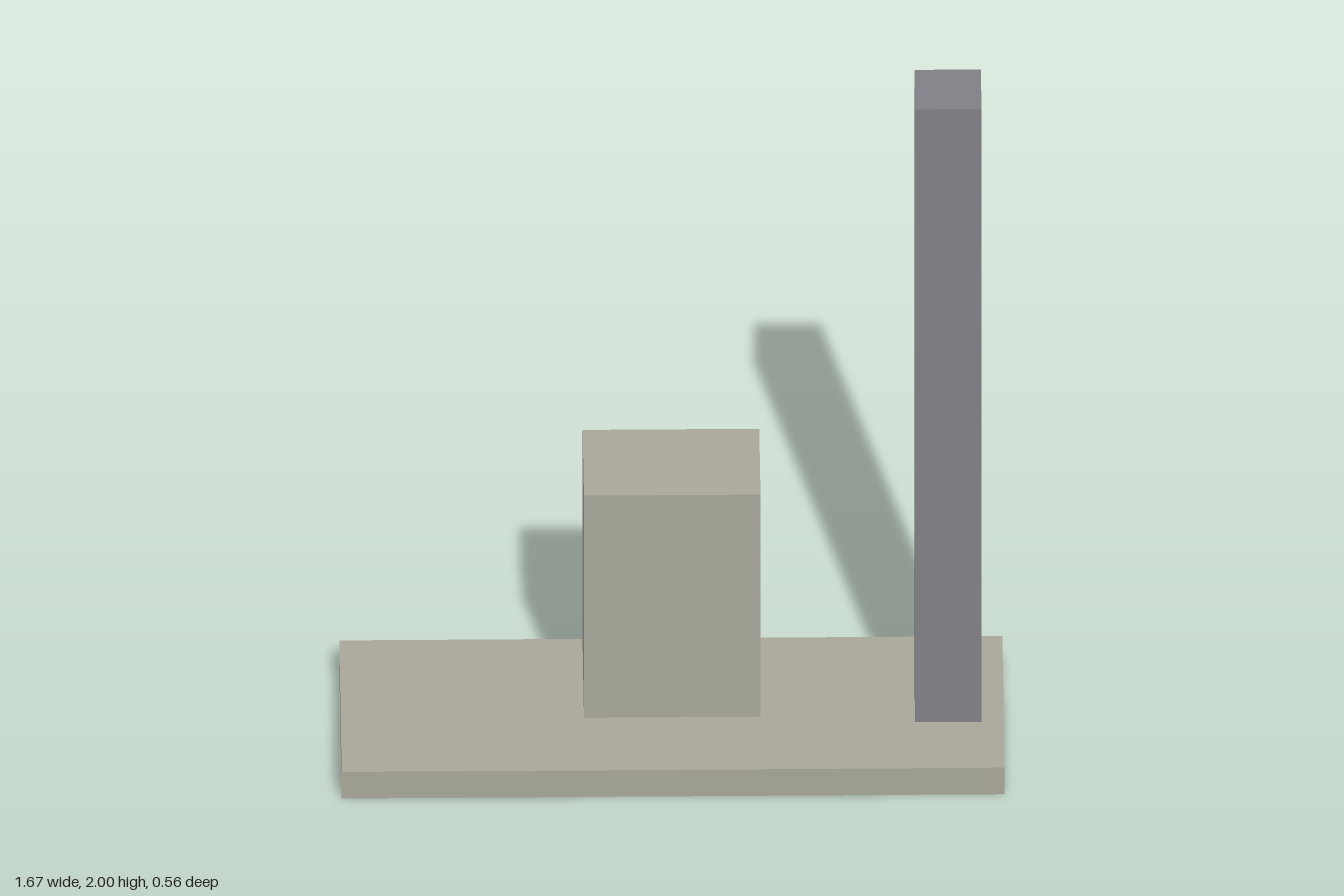
import * as THREE from 'three';

const concrete = new THREE.MeshStandardMaterial({ name: 'concrete', color: 0xa9a799 });
const steel = new THREE.MeshStandardMaterial({ name: 'steel grey', color: 0x808187 });
const darkGlass = new THREE.MeshStandardMaterial({ name: 'dark glass', color: 0x37464c });

// Box given by its size and the centre of its underside
function block(name, material, [w, h, d], [x, y, z]) {
  const mesh = new THREE.Mesh(new THREE.BoxGeometry(w, h, d), material);
  mesh.name = name;
  mesh.position.set(x, y + h / 2, z);
  return mesh;
}

export function createModel() {
  const model = new THREE.Group();
  model.name = 'kioskIsland';
  const top = 0.083; // upper face of the base slab

  model.add(
    block('baseSlab', concrete, [1.667, top, 0.556], [0, 0, 0]),
    block('cabinet', concrete, [0.444, 0.695, 0.278], [0, top, -0.083]),
    // Display panel on the back of the cabinet
    block('screen', darkGlass, [0.333, 0.222, 0.028], [0, 0.448, -0.236]),
    // Tall square column on the left end
    block('post', steel, [0.167, 2 - top, 0.167], [0.694, top, 0]),
  );
  return model;
}
